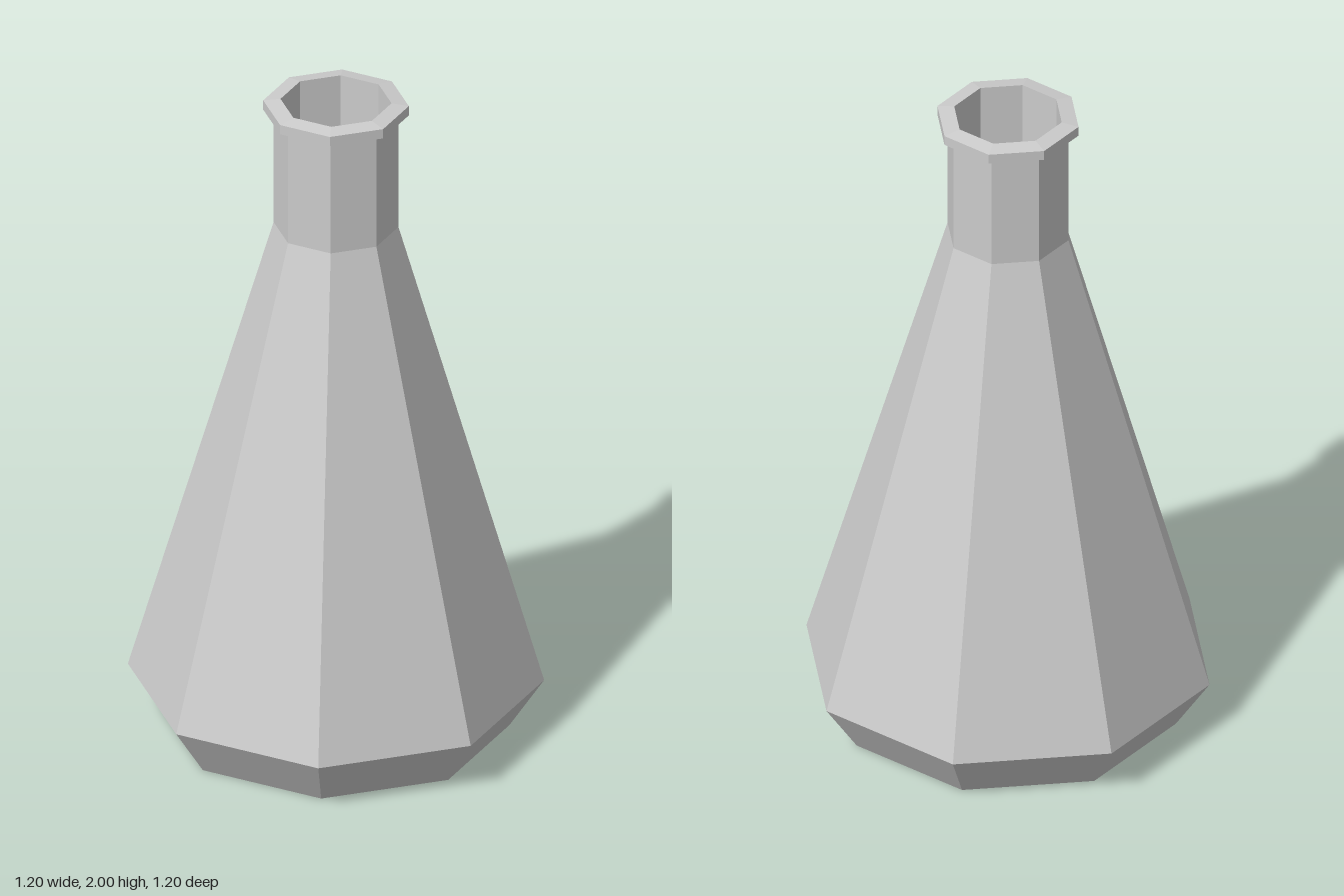
import * as THREE from 'three';

const SIDES = 8;

export function createModel() {
  const group = new THREE.Group();
  group.name = 'flask';
  const material = new THREE.MeshStandardMaterial({ color: 0xcccccc, flatShading: true });

  // Closed wall profile [radius, height]: up the outside, over the lip, down the inside
  const profile = [
    [0, 0], [0.5, 0],            // base
    [0.6, 0.15],                 // bevelled foot
    [0.18, 1.6], [0.18, 1.955],  // sloping body and neck
    [0.21, 1.963], [0.21, 1.993], [0.16, 2], // lip
    [0.16, 1.6],                 // inside of neck
    [0.57, 0.16], [0.48, 0.03], [0, 0.03],   // cavity and its floor
  ].map(([r, y]) => new THREE.Vector2(r, y));

  const body = new THREE.Mesh(new THREE.LatheGeometry(profile, SIDES), material);
  body.name = 'flaskBody';
  group.add(body);
  return group;
}
